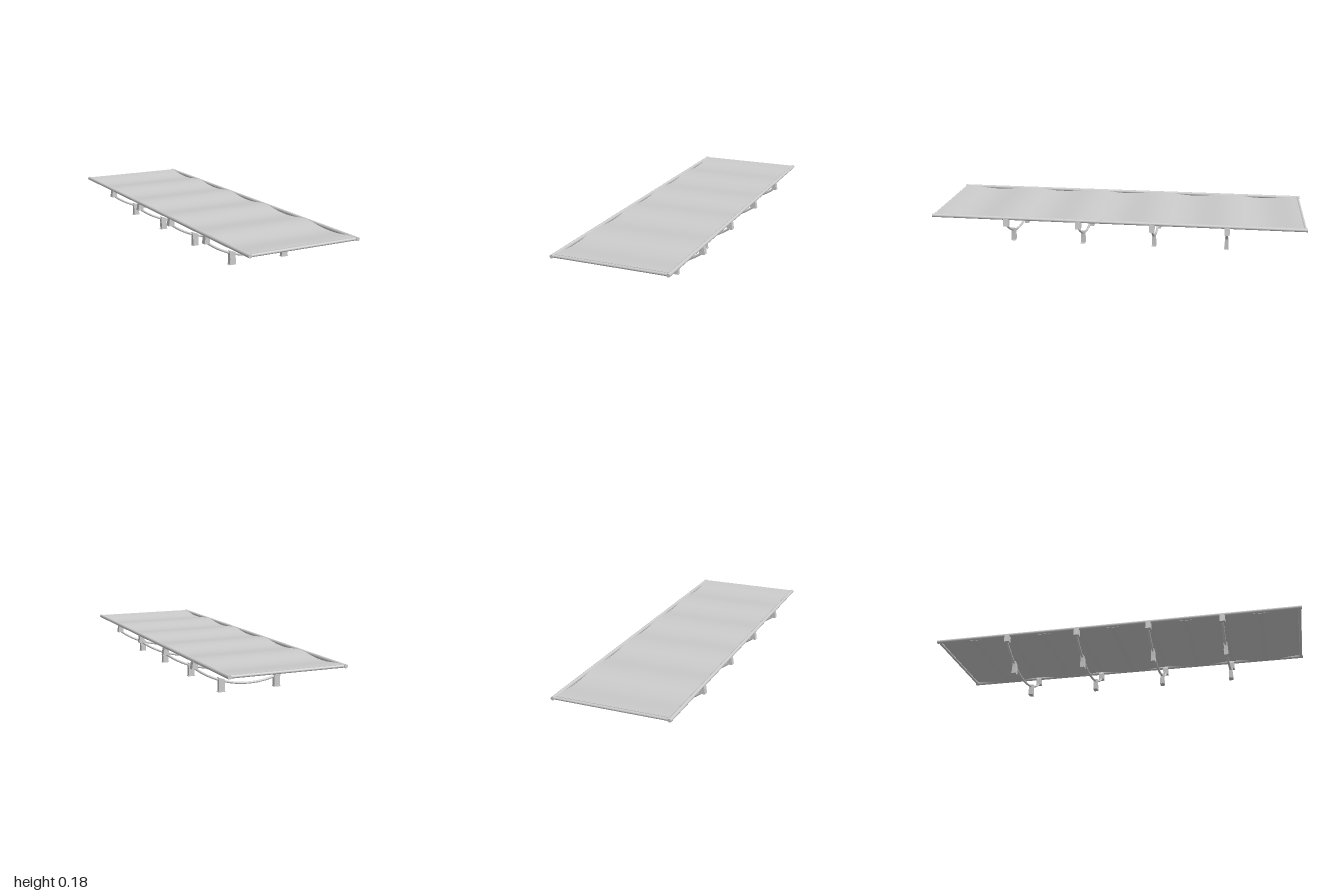
import * as THREE from 'three';

const grey = new THREE.MeshStandardMaterial({ color: 0xcccccc });
const RAIL_X = 0.3, RAIL_Y = 0.17, SPAN = 0.393;

function add(parent, name, geometry, x = 0, y = 0, z = 0) {
  const mesh = new THREE.Mesh(geometry, grey);
  mesh.name = name;
  mesh.position.set(x, y, z);
  parent.add(mesh);
  return mesh;
}

// Plate with an x/y outline, centred on z
function plate(points, depth) {
  const shape = new THREE.Shape(points.map(([x, y]) => new THREE.Vector2(x, y)));
  return new THREE.ExtrudeGeometry(shape, { depth, bevelEnabled: false }).translate(0, 0, -depth / 2);
}

// Thin cloth that dips between neighbouring legs
function clothGeometry() {
  const geo = new THREE.BoxGeometry(0.594, 0.003, 1.966, 4, 1, 120);
  const pos = geo.attributes.position;
  for (let i = 0; i < pos.count; i++) {
    const wave = Math.cos((2 * Math.PI * pos.getZ(i)) / SPAN);
    pos.setY(i, pos.getY(i) + 0.168 - 0.0075 * wave);
  }
  geo.computeVertexNormals();
  return geo;
}

// One bowed cross support with its end brackets and feet
function createLeg() {
  const leg = new THREE.Group();
  leg.name = 'legAssembly';

  // Circular arc of radius 0.5
  const arc = [];
  for (let i = 0; i <= 16; i++) {
    const x = -0.296 + (0.592 * i) / 16;
    arc.push(new THREE.Vector3(x, 0.533 - Math.sqrt(0.25 - x * x), 0));
  }
  add(leg, 'bowTube', new THREE.TubeGeometry(new THREE.CatmullRomCurve3(arc), 48, 0.006, 12));

  for (const side of [1, -1]) {
    const mirror = (pts) => pts.map(([x, y]) => [x * side, y]);
    // Bracket gripping the side rail
    add(leg, 'railBracket', plate(mirror([
      [0.285, 0.127], [0.316, 0.127], [0.309, 0.172], [0.291, 0.172], [0.285, 0.16],
    ]), 0.028));
    // Foot block, clamp around the bow and ground pad
    add(leg, 'footBlock', plate(mirror([
      [0.138, 0.003], [0.17, 0.003], [0.17, 0.035], [0.138, 0.035],
    ]), 0.022));
    add(leg, 'footClamp', plate(mirror([
      [0.138, 0.034], [0.17, 0.034], [0.172, 0.073], [0.138, 0.062],
    ]), 0.019));
    add(leg, 'footPad', new THREE.BoxGeometry(0.038, 0.003, 0.024), side * 0.155, 0.0015, 0);
  }
  return leg;
}

export function createModel() {
  const cot = new THREE.Group();
  cot.name = 'foldingCot';

  add(cot, 'cloth', clothGeometry());

  // Frame tubes
  for (const side of [1, -1]) {
    add(cot, 'sideRail', new THREE.CylinderGeometry(0.0095, 0.0095, 2, 20).rotateX(Math.PI / 2),
      side * RAIL_X, RAIL_Y, 0);
    add(cot, 'endRail', new THREE.CylinderGeometry(0.0075, 0.0075, 0.6, 16).rotateZ(Math.PI / 2),
      0, RAIL_Y, side * 0.989);
  }

  // Four evenly spaced supports
  for (let i = 0; i < 4; i++) {
    const leg = createLeg();
    leg.position.z = (i - 1.5) * SPAN;
    cot.add(leg);
  }
  return cot;
}
